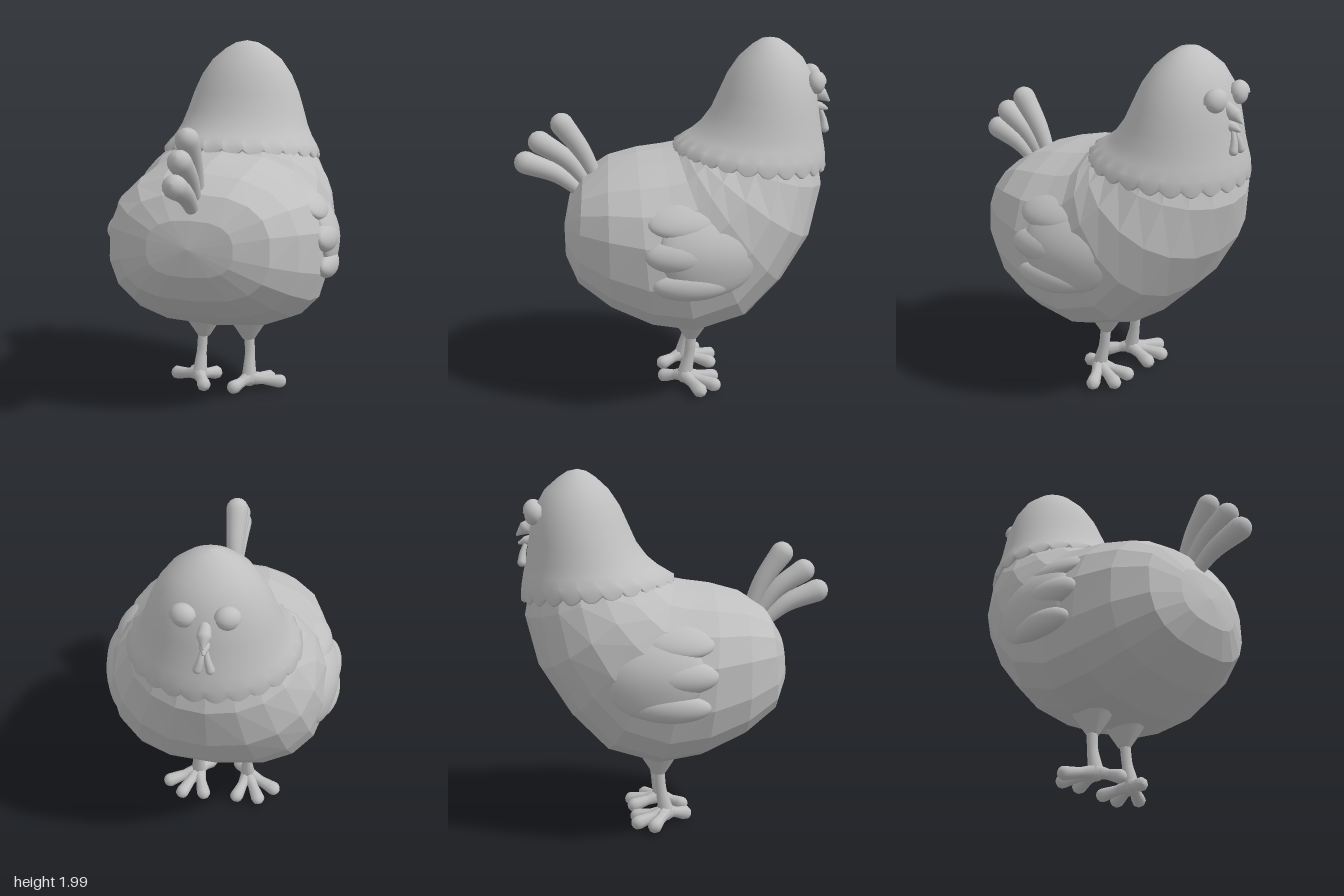
import * as THREE from 'three';

const V = (x, y, z) => new THREE.Vector3(x, y, z);
const plumage = new THREE.MeshStandardMaterial({ color: 0xbfbfbf });
plumage.name = 'plain grey';

function mesh(name, geometry) {
  const m = new THREE.Mesh(geometry, plumage);
  m.name = name;
  return m;
}

// Skin over closed rings that all have the same number of points
function loft(rings, flat = false) {
  const n = rings[0].length, index = [];
  for (let i = 0; i < rings.length - 1; i++) {
    for (let j = 0; j < n; j++) {
      const a = i * n + j, b = i * n + (j + 1) % n;
      index.push(a, b, a + n, b, b + n, a + n);
    }
  }
  let g = new THREE.BufferGeometry().setFromPoints(rings.flat());
  g.setIndex(index);
  if (flat) g = g.toNonIndexed();
  g.computeVertexNormals();
  return g;
}

// Superellipse ring between profile points a and b, given as [z, y]
function section(a, b, w, n, powA = 2, powB = 2) {
  const cz = (a[0] + b[0]) / 2, cy = (a[1] + b[1]) / 2, ring = [];
  for (let j = 0; j < n; j++) {
    const t = (j / n) * Math.PI * 2, c = Math.cos(t), s = Math.sin(t);
    const p = 2 / (c > 0 ? powA : powB);
    const u = Math.sign(c) * Math.abs(c) ** p, v = Math.sign(s) * Math.abs(s) ** p;
    ring.push(V(w * v, cy + (a[1] - cy) * u, cz + (a[0] - cz) * u));
  }
  return ring;
}

// Tapered, round-ended tube along a smooth path
function limb(points, radii, n = 12, steps = 10) {
  const curve = new THREE.CatmullRomCurve3(points);
  const { tangents, normals, binormals } = curve.computeFrenetFrames(steps);
  const rings = [];
  const add = (i, r, shift) => {
    const c = curve.getPointAt(i / steps).addScaledVector(tangents[i], shift), ring = [];
    for (let j = 0; j < n; j++) {
      const t = (j / n) * Math.PI * 2;
      ring.push(c.clone().addScaledVector(normals[i], r * Math.cos(t)).addScaledVector(binormals[i], r * Math.sin(t)));
    }
    rings.push(ring);
  };
  const first = radii[0], last = radii[radii.length - 1];
  for (let k = 4; k > 0; k--) add(0, first * Math.cos(k * Math.PI / 8), -first * Math.sin(k * Math.PI / 8));
  for (let i = 0; i <= steps; i++) {
    const f = (i / steps) * (radii.length - 1), k = Math.min(Math.floor(f), radii.length - 2);
    add(i, THREE.MathUtils.lerp(radii[k], radii[k + 1], f - k), 0);
  }
  for (let k = 1; k <= 4; k++) add(steps, last * Math.cos(k * Math.PI / 8), last * Math.sin(k * Math.PI / 8));
  return loft(rings);
}

// Faceted egg-shaped body, from the tail end round to the neck
function makeBody() {
  const rows = [
    [[0.61, 0.95], [0.61, 0.95], 0, 2.2, 2.6],
    [[0.58, 1.1], [0.6, 0.8], 0.24, 2.6, 2.8],
    [[0.5, 1.23], [0.53, 0.66], 0.42, 2.5, 2.8],
    [[0.36, 1.32], [0.35, 0.53], 0.54, 2.3, 2.8],
    [[0.2, 1.365], [0.12, 0.43], 0.605, 2.2, 2.8],
    [[0.06, 1.385], [-0.12, 0.39], 0.61, 2.2, 2.8],
    [[-0.02, 1.4], [-0.4, 0.47], 0.6, 2.2, 2.6],
    [[-0.05, 1.42], [-0.6, 0.67], 0.585, 2.2, 2.4],
    [[-0.08, 1.435], [-0.76, 0.92], 0.54, 2.1, 2.2],
    [[-0.12, 1.455], [-0.83, 1.2], 0.45, 2, 2],
    [[-0.2, 1.5], [-0.79, 1.42], 0.36, 2, 2],
    [[-0.5, 1.48], [-0.5, 1.48], 0, 2, 2],
  ];
  return mesh('body', loft(rows.map(([a, b, w, p, q]) => section(a, b, w, 18, p, q)), true));
}

// Smooth head and neck hood with a scalloped hem
function makeHood() {
  const n = 192, scallops = 24;
  const rows = [
    [[-0.05, 1.43], [-0.8, 1.345], 0.41],
    [[-0.015, 1.405], [-0.835, 1.31], 0.445],
    [[0, 1.418], [-0.85, 1.322], 0.46],
    [[-0.04, 1.44], [-0.845, 1.37], 0.438],
    [[-0.09, 1.47], [-0.835, 1.43], 0.405],
    [[-0.15, 1.52], [-0.82, 1.5], 0.375],
    [[-0.21, 1.6], [-0.805, 1.6], 0.345],
    [[-0.255, 1.7], [-0.79, 1.7], 0.312],
    [[-0.3, 1.8], [-0.76, 1.8], 0.268],
    [[-0.36, 1.89], [-0.71, 1.89], 0.205],
    [[-0.43, 1.955], [-0.635, 1.955], 0.125],
    [[-0.48, 1.988], [-0.585, 1.988], 0.065],
    [[-0.53, 2], [-0.53, 2], 0],
  ];
  const rings = rows.map(([a, b, w]) => section(a, b, w, n));
  for (const i of [0, 1, 2]) {
    rings[i].forEach((p, j) => { p.y -= 0.034 * Math.abs(Math.sin((j / n) * Math.PI * scallops)); });
  }
  return mesh('hood', loft(rings));
}

// Flattened pad bent to follow the flank; y, z centre and radii
function wingPad(y, z, ry, rz, thick, tilt) {
  const g = new THREE.SphereGeometry(1, 24, 16).scale(thick, ry, rz).rotateX(tilt).translate(0, y, z);
  const p = g.attributes.position;
  for (let i = 0; i < p.count; i++) {
    const py = p.getY(i), pz = p.getZ(i);
    p.setX(i, p.getX(i) + 0.61 - 1.6 * Math.max(0, py - 0.9) ** 2 - 0.4 * (pz - 0.05) ** 2);
  }
  g.computeVertexNormals();
  return g;
}

// Everything that exists on both sides, made for +x
function makeSide() {
  const side = new THREE.Group();

  const wing = new THREE.Group();
  wing.name = 'wing';
  wing.add(mesh('wingPalm', wingPad(0.97, -0.18, 0.245, 0.275, 0.06, 0)));
  for (const [y, z, ry, rz, tilt] of [[1.13, -0.06, 0.088, 0.22, 0.08], [0.95, -0.05, 0.092, 0.22, 0], [0.785, -0.08, 0.076, 0.21, 0]]) {
    wing.add(mesh('wingFeather', wingPad(y, z, ry, rz, 0.058, tilt)));
  }

  const leg = new THREE.Group();
  leg.name = 'leg';
  leg.add(mesh('thigh', new THREE.CylinderGeometry(0.12, 0.035, 0.13, 12).translate(0.135, 0.372, -0.1)));
  leg.add(mesh('shank', limb([V(0.14, 0.34, -0.1), V(0.145, 0.22, -0.09), V(0.15, 0.08, -0.06)], [0.03, 0.03, 0.045], 8)));
  for (const [x, y, z] of [[0.09, 0.055, 0.05], [0.31, 0.055, -0.14], [0.225, 0.05, -0.225], [0.1, 0.05, -0.22]]) {
    const end = V(x, y, z), root = V(0.15, 0.085, -0.06);
    leg.add(mesh('toe', limb([root, root.clone().lerp(end, 0.5), end], [0.042, 0.03, 0.04], 8)));
  }

  const eye = new THREE.Group();
  eye.name = 'eye';
  eye.add(mesh('eyeball', new THREE.SphereGeometry(0.06, 20, 14).scale(1, 1, 0.75)));
  const lid = mesh('eyelid', new THREE.SphereGeometry(0.069, 20, 10, 0, Math.PI * 2, 0, Math.PI / 2).scale(1, 0.95, 0.78));
  const underside = mesh('eyelidUnderside', new THREE.CircleGeometry(0.069, 20).rotateX(Math.PI / 2).scale(1, 1, 0.78));
  eye.add(lid, underside);
  eye.position.set(0.11, 1.765, -0.775);
  eye.rotation.set(0.1, -0.3, -0.12);

  side.add(wing, leg, eye);
  side.add(mesh('wattle', limb([V(0.01, 1.59, -0.82), V(0.02, 1.54, -0.835), V(0.032, 1.495, -0.84)], [0.012, 0.018, 0.024])));
  return side;
}

// Copy a side group across x = 0, keeping faces outward
function mirrored(group) {
  const copy = group.clone(true);
  copy.scale.x = -1;
  return copy;
}

export function createModel() {
  const bird = new THREE.Group();
  bird.name = 'bird';
  bird.add(makeBody(), makeHood());

  const left = makeSide();
  const right = mirrored(left);
  left.name = 'leftSide';
  right.name = 'rightSide';
  bird.add(left, right);

  // Beak
  bird.add(mesh('upperBeak', limb([V(0, 1.71, -0.775), V(0, 1.675, -0.825), V(0, 1.645, -0.862)], [0.03, 0.038, 0.008])));
  bird.add(mesh('lowerBeak', limb([V(0, 1.615, -0.79), V(0, 1.608, -0.825), V(0, 1.6, -0.85)], [0.03, 0.025, 0.01])));

  // Tail fan: root, middle and tip of each feather as [z, y]
  const feathers = [
    [[0.42, 1.2], [0.5, 1.37], [0.61, 1.525]],
    [[0.46, 1.17], [0.58, 1.32], [0.735, 1.425]],
    [[0.5, 1.13], [0.64, 1.24], [0.815, 1.31]],
  ];
  for (const path of feathers) {
    bird.add(mesh('tailFeather', limb(path.map(([z, y]) => V(0, y, z)), [0.035, 0.05, 0.064], 14)));
  }
  return bird;
}
